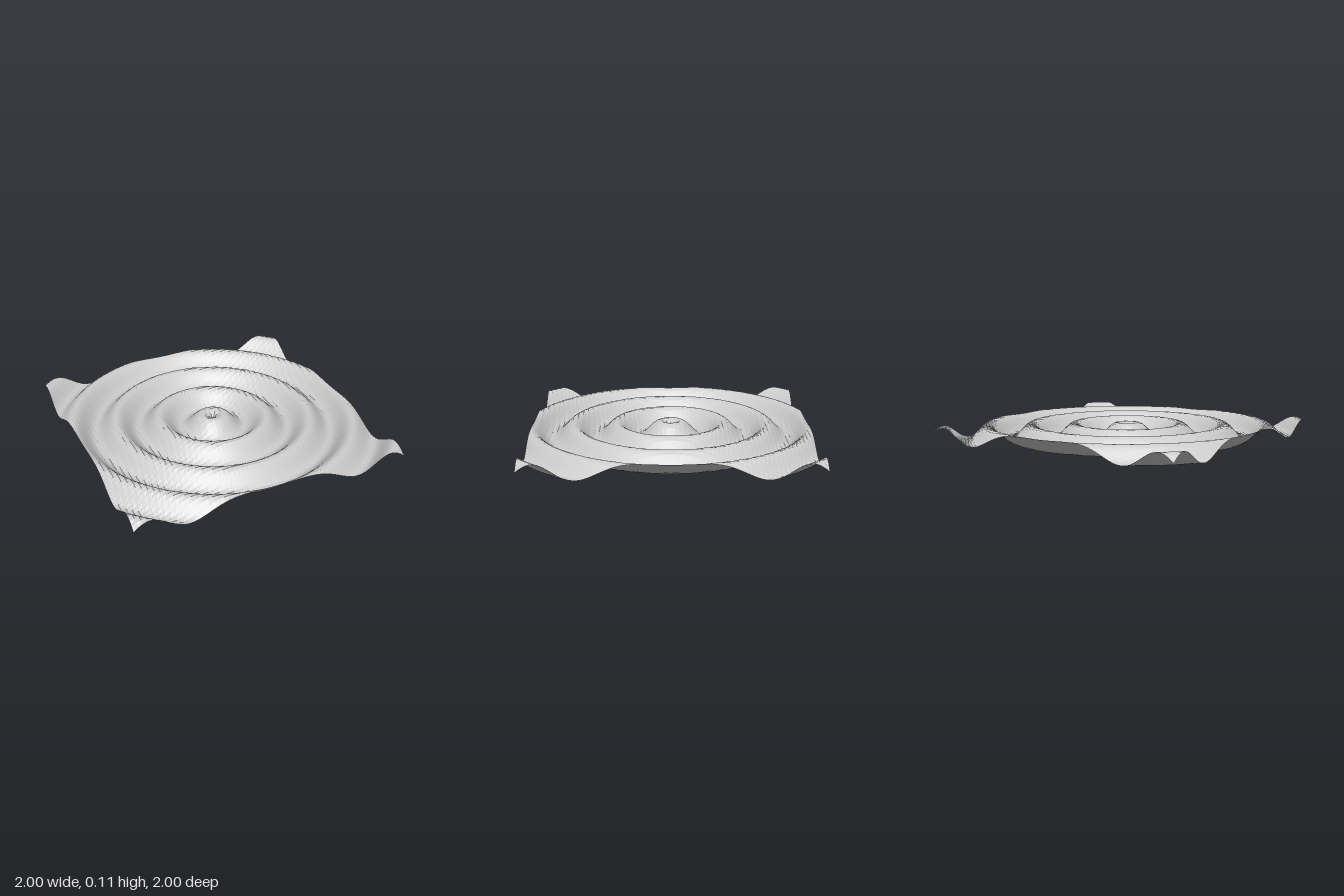
import * as THREE from 'three';

const SIZE = 2;
const SEGMENTS = 64;
const AMPLITUDE = 0.055;
const FREQUENCY = 20; // radians per unit of radius

// Height of the concentric ripple at a point; the lowest trough rests on y = 0
function rippleHeight(x, z) {
  return AMPLITUDE * (1 + Math.sin(FREQUENCY * Math.hypot(x, z)));
}

export function createModel() {
  const group = new THREE.Group();
  group.name = 'rippleModel';

  // Square sheet, raised and lowered in rings around its centre
  const geometry = new THREE.PlaneGeometry(SIZE, SIZE, SEGMENTS, SEGMENTS);
  geometry.rotateX(-Math.PI / 2);
  const position = geometry.attributes.position;
  for (let i = 0; i < position.count; i++) {
    position.setY(i, rippleHeight(position.getX(i), position.getZ(i)));
  }
  geometry.computeVertexNormals();

  const material = new THREE.MeshStandardMaterial({
    color: 0xcccccc,
    flatShading: true,
    side: THREE.DoubleSide,
  });
  const sheet = new THREE.Mesh(geometry, material);
  sheet.name = 'rippleSheet';
  group.add(sheet);
  return group;
}
